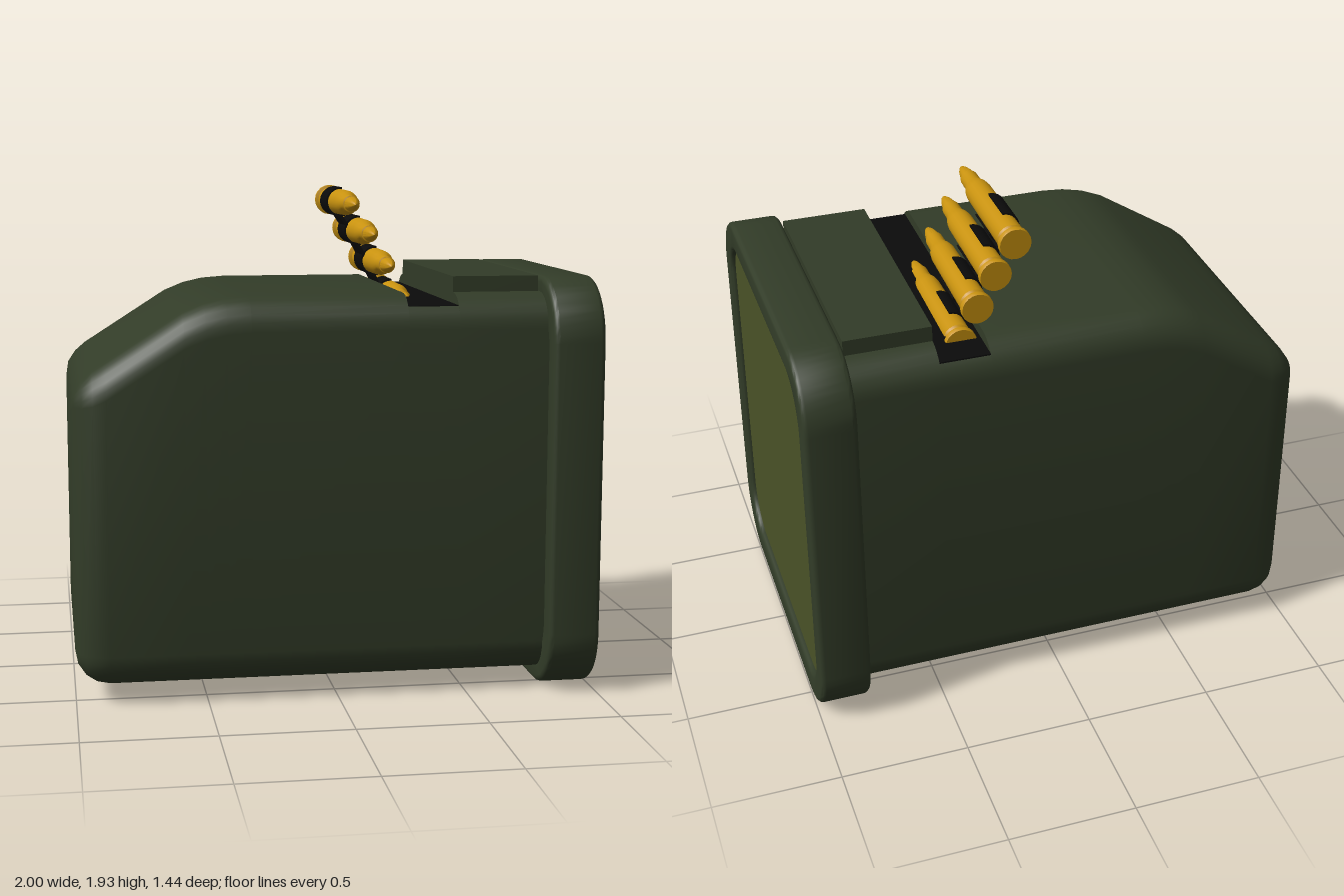
import * as THREE from 'three';
import { toCreasedNormals } from 'three/addons/utils/BufferGeometryUtils.js';

const mat = (name, color, side = THREE.FrontSide) => {
  const m = new THREE.MeshStandardMaterial({ color, side });
  m.name = name;
  return m;
};

// Rounded rectangle centred on the origin
function roundedRect(w, h, r, Type = THREE.Shape) {
  const s = new Type();
  const x = w / 2 - r, y = h / 2 - r;
  s.absarc(x, y, r, 0, Math.PI / 2);
  s.absarc(-x, y, r, Math.PI / 2, Math.PI);
  s.absarc(-x, -y, r, Math.PI, Math.PI * 1.5);
  s.absarc(x, -y, r, Math.PI * 1.5, Math.PI * 2);
  s.closePath();
  return s;
}

// Box body lofted along x: [x, inset, top, cut height]
function bodyGeometry() {
  const R = 0.13, SEG = 6, FULL = 9;
  const stations = [
    [-1, 0.13, 1.13, FULL], [-0.99, 0.08, 1.19, FULL], [-0.96, 0.036, 1.235, FULL],
    [-0.92, 0.01, 1.27, FULL], [-0.87, 0, 1.302, FULL], [-0.58, 0, 1.487, FULL],
    [-0.5, 0, 1.52, FULL], [-0.42, 0, 1.538, FULL], [-0.33, 0, 1.545, FULL],
    [0.265, 0, 1.545, FULL], [0.265, 0, 1.545, 1.5],
    [0.46, 0, 1.545, 1.5], [0.46, 0, 1.545, FULL], [0.84, 0, 1.545, FULL],
  ];
  const rings = stations.map(([x, inset, top, cut]) => {
    const r = Math.max(R - inset, 0.01), hw = 0.62 - inset, bottom = 0.065 + inset;
    const ring = [];
    for (let q = 0; q < 4; q++) {
      const cz = (q === 0 || q === 3 ? 1 : -1) * (hw - r);
      const cy = q < 2 ? top - r : bottom + r;
      for (let i = 0; i <= SEG; i++) {
        const a = (q + i / SEG) * Math.PI / 2;
        ring.push([x, Math.min(cy + r * Math.sin(a), cut), cz + r * Math.cos(a)]);
      }
    }
    return ring;
  });
  const pos = [], n = rings[0].length;
  const tri = (a, b, c) => pos.push(...a, ...b, ...c);
  for (let i = 0; i < n; i++) {
    const k = (i + 1) % n;
    tri([-1, 0.65, 0], rings[0][i], rings[0][k]);
    for (let j = 0; j < rings.length - 1; j++) {
      tri(rings[j][i], rings[j + 1][i], rings[j + 1][k]);
      tri(rings[j][i], rings[j + 1][k], rings[j][k]);
    }
  }
  const g = new THREE.BufferGeometry();
  g.setAttribute('position', new THREE.Float32BufferAttribute(pos, 3));
  return toCreasedNormals(g, 0.6);
}

export function createModel() {
  const model = new THREE.Group();
  model.name = 'ammunitionBox';
  const green = mat('darkGreen', 0x323c28);
  const olive = mat('olive', 0x4a5227);
  const brass = mat('brass', 0xc8920f);
  const black = mat('black', 0x0b0b0b, THREE.DoubleSide);

  const add = (name, geo, material, x = 0, y = 0, z = 0, parent = model) => {
    const m = new THREE.Mesh(geo, material);
    m.name = name;
    m.position.set(x, y, z);
    parent.add(m);
    return m;
  };

  add('body', bodyGeometry(), green);
  add('slotFloor', new THREE.BoxGeometry(0.195, 0.006, 1.165), black, 0.3625, 1.5, -0.005);
  add('raisedLid', new THREE.BoxGeometry(0.335, 0.1, 0.98), green, 0.6275, 1.555, -0.01);

  // End frame with recessed panel
  const MID = 0.8025;
  const frame = roundedRect(1.44, 1.605, 0.24);
  frame.holes.push(roundedRect(1.24, 1.39, 0.17, THREE.Path));
  const frameGeo = new THREE.ExtrudeGeometry(frame, {
    depth: 0.16, bevelEnabled: true, bevelThickness: 0.02, bevelSize: 0.02,
    bevelOffset: -0.02, bevelSegments: 3, curveSegments: 6,
  });
  frameGeo.rotateY(Math.PI / 2);
  add('endFrame', toCreasedNormals(frameGeo, 0.6), green, 0.82, MID, 0);

  const plate = (depth) => new THREE.ExtrudeGeometry(roundedRect(1.27, 1.42, 0.18),
    { depth, bevelEnabled: false, curveSegments: 6 }).rotateY(Math.PI / 2);
  add('endBacking', plate(0.14), green, 0.83, MID, 0);
  add('endPanel', plate(0.009), olive, 0.97, MID, 0);

  // Cartridges lying along z, tips to the front
  const profile = [
    [0, -0.467], [0.06, -0.467], [0.062, -0.462], [0.062, -0.445], [0.046, -0.44],
    [0.046, -0.425], [0.054, -0.415], [0.05, -0.03], [0.046, 0], [0.035, 0.035],
    [0.034, 0.1], [0.029, 0.102], [0.027, 0.13], [0.02, 0.165], [0.011, 0.19], [0, 0.203],
  ].map(([r, z]) => new THREE.Vector2(r, z));
  const cartridgeGeo = toCreasedNormals(
    new THREE.LatheGeometry(profile, 20).rotateX(Math.PI / 2).toNonIndexed(), 0.6);

  // Open clip wrapped around the left and lower side of a cartridge
  const clip = new THREE.Shape();
  const from = Math.PI * 0.47, to = Math.PI * 1.9;
  clip.absarc(0, 0, 0.06, from, to, false);
  clip.absarc(0, 0, 0.053, to, from, true);
  clip.closePath();
  const clipGeo = new THREE.ExtrudeGeometry(clip,
    { depth: 0.17, bevelEnabled: false, curveSegments: 16 });

  const centres = [[0.13, 1.868], [0.205, 1.75], [0.275, 1.625], [0.34, 1.488]];
  const belt = new THREE.Group();
  belt.name = 'cartridgeBelt';
  model.add(belt);
  centres.forEach(([x, y], i) => {
    add('cartridge', cartridgeGeo, brass, x, y, 0, belt);
    add('clip', clipGeo, black, x, y, -0.33, belt);
    const next = centres[i + 1];
    if (!next) return;
    const dx = next[0] - x, dy = next[1] - y;
    const link = add('link', new THREE.BoxGeometry(Math.hypot(dx, dy), 0.012, 0.17), black,
      x + dx / 2 - 0.025, y + dy / 2 - 0.015, -0.245, belt);
    link.rotation.z = Math.atan2(dy, dx);
  });
  return model;
}
